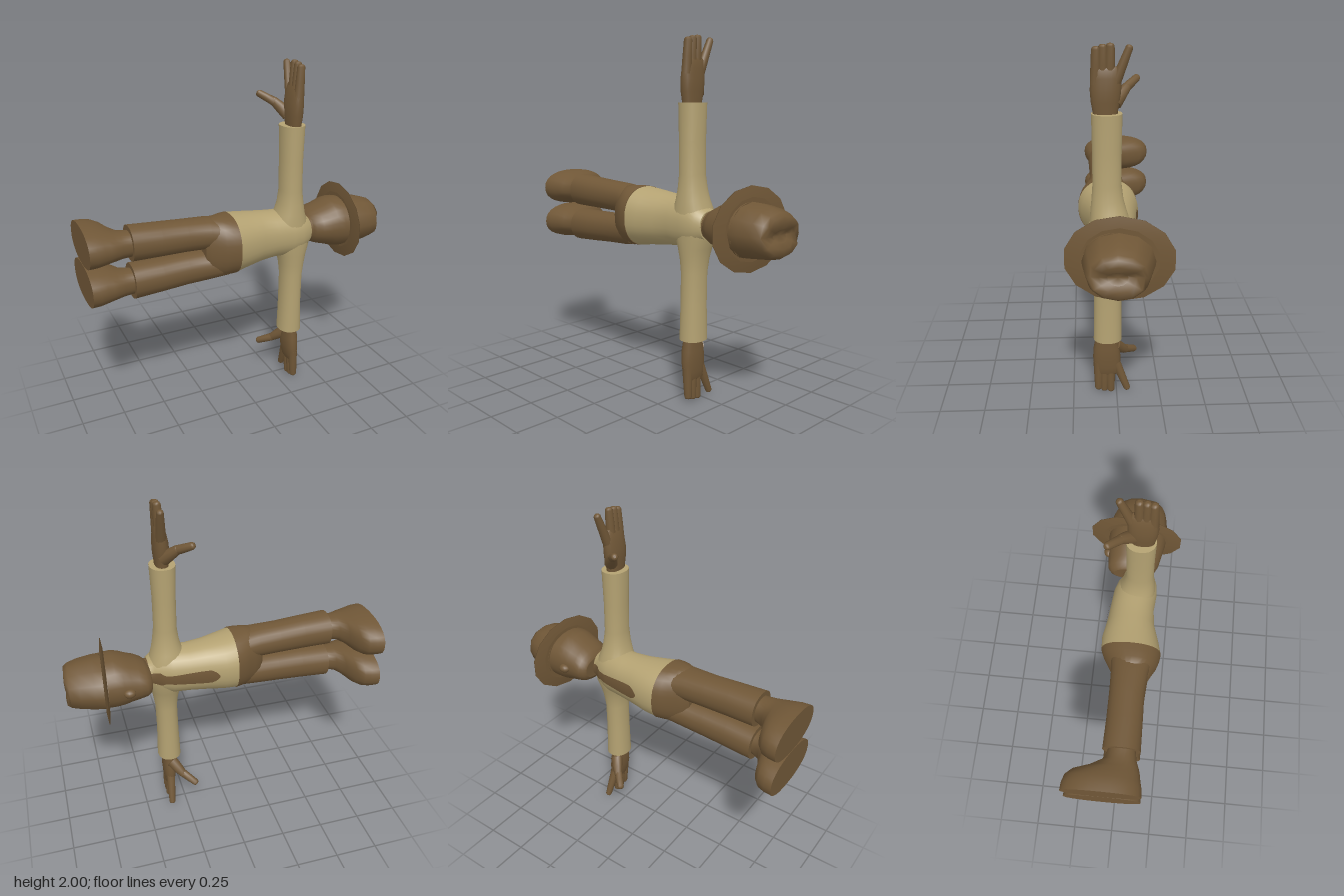
import * as THREE from 'three';

const brown = new THREE.MeshStandardMaterial({ color: 0x705737 });
brown.name = 'brown';
const cream = new THREE.MeshStandardMaterial({ color: 0xb4a272 });
cream.name = 'cream';

const superPow = (c, p) => Math.sign(c) * Math.pow(Math.abs(c), 2 / p);

// Skin oval sections [t, cu, cv, ru, rv]. Axis x: u = y, v = z. Axis y: u = z, v = x.
function loft(axis, sections, segs = 28, p = 2) {
  const rows = sections[0][0] > sections[sections.length - 1][0] ? [...sections].reverse() : sections;
  const pos = [], index = [];
  const put = (t, u, v) => (axis === 'x' ? pos.push(t, u, v) : pos.push(v, t, u));
  const ring = ([t, cu, cv, ru, rv]) => {
    const start = pos.length / 3;
    for (let i = 0; i < segs; i++) {
      const a = (i / segs) * Math.PI * 2;
      put(t, cu + ru * superPow(Math.cos(a), p), cv + rv * superPow(Math.sin(a), p));
    }
    return start;
  };
  const starts = rows.map(ring);
  for (let r = 0; r < rows.length - 1; r++) {
    for (let i = 0; i < segs; i++) {
      const j = (i + 1) % segs, a = starts[r], b = starts[r + 1];
      index.push(a + i, a + j, b + j, a + i, b + j, b + i);
    }
  }
  // separate cap vertices keep the end edges crisp
  for (const [row, last] of [[rows[0], false], [rows[rows.length - 1], true]]) {
    const s = ring(row), c = pos.length / 3;
    put(row[0], row[1], row[2]);
    for (let i = 0; i < segs; i++) {
      const j = (i + 1) % segs;
      if (last) index.push(c, s + i, s + j);
      else index.push(c, s + j, s + i);
    }
  }
  const g = new THREE.BufferGeometry();
  g.setAttribute('position', new THREE.Float32BufferAttribute(pos, 3));
  g.setIndex(index);
  g.computeVertexNormals();
  return g;
}

// Move every vertex by a rule
function warp(g, rule) {
  const p = g.attributes.position, v = new THREE.Vector3();
  for (let i = 0; i < p.count; i++) {
    rule(v.fromBufferAttribute(p, i));
    p.setXYZ(i, v.x, v.y, v.z);
  }
  g.computeVertexNormals();
  return g;
}

// Rounded tapering finger between two points
function finger(a, b, r1, r2) {
  const A = new THREE.Vector3(...a), B = new THREE.Vector3(...b), L = A.distanceTo(B);
  const g = loft('y', [[0, r1], [L * 0.5, (r1 + r2) / 2], [L - r2 * 0.6, r2], [L - r2 * 0.15, r2 * 0.75], [L, r2 * 0.35]]
    .map(([t, r]) => [t, 0, 0, r, r]), 10);
  g.applyQuaternion(new THREE.Quaternion().setFromUnitVectors(new THREE.Vector3(0, 1, 0), B.clone().sub(A).normalize()));
  return g.translate(A.x, A.y, A.z);
}

const torso = [
  [-0.07, 1, 0.036, 0.172, 0.172], [0, 1, 0.025, 0.162, 0.165], [0.1, 1, 0.018, 0.15, 0.139],
  [0.2, 1, 0.018, 0.14, 0.128], [0.3, 1, 0.028, 0.14, 0.127], [0.36, 1, 0.035, 0.125, 0.115],
  [0.4, 1, 0.042, 0.1, 0.095], [0.43, 1, 0.035, 0.08, 0.082],
];
const TORSO_P = 2.2;

// Height of the chest surface, on the -z side
function chestZ(x, y) {
  let k = 0;
  while (k < torso.length - 2 && torso[k + 1][0] < x) k++;
  const f = (x - torso[k][0]) / (torso[k + 1][0] - torso[k][0]);
  const [cz, ry, rz] = [2, 3, 4].map((n) => THREE.MathUtils.lerp(torso[k][n], torso[k + 1][n], f));
  return cz - rz * Math.pow(1 - Math.pow(Math.min(1, Math.abs(y - 1) / ry), TORSO_P), 1 / TORSO_P);
}

export function createModel() {
  const model = new THREE.Group();
  model.name = 'lyingFigure';
  const add = (name, geometry, material, parent = model) => {
    const m = new THREE.Mesh(geometry, material);
    m.name = name;
    parent.add(m);
    return m;
  };

  // Shirt body and hips
  add('shirt', loft('x', torso, 32, TORSO_P), cream);
  add('hips', loft('x', [
    [-0.25, 0.995, 0.05, 0.1, 0.07], [-0.225, 0.996, 0.048, 0.15, 0.1], [-0.19, 0.997, 0.048, 0.175, 0.118],
    [-0.15, 0.998, 0.048, 0.177, 0.142], [-0.11, 1, 0.042, 0.175, 0.162], [-0.07, 1, 0.036, 0.173, 0.173],
  ], 32, 2.3), brown);

  // Tie lying on the chest
  const tieWidths = [[0.045, 0.006], [0.06, 0.026], [0.09, 0.042], [0.15, 0.041], [0.3, 0.03], [0.345, 0.027], [0.375, 0.042], [0.425, 0.032]];
  const tieHalf = (x) => {
    let k = 0;
    while (k < tieWidths.length - 2 && tieWidths[k + 1][0] < x) k++;
    const [a, b] = [tieWidths[k], tieWidths[k + 1]];
    return THREE.MathUtils.mapLinear(x, a[0], b[0], a[1], b[1]);
  };
  add('tie', warp(new THREE.PlaneGeometry(1, 1, 36, 6), (v) => {
    const x = 0.235 - v.x * 0.38, y = 1 + v.y * 2 * tieHalf(x);
    v.set(x, y, chestZ(x, y) - 0.006);
  }), brown);

  for (const s of [1, -1]) {
    const side = s > 0 ? 'upper' : 'lower';

    // Trouser leg and boot
    const leg = new THREE.Group();
    leg.name = side + 'Leg';
    model.add(leg);
    const legRows = (rows) => rows.map(([x, d, cz, ry, rz]) => [x, 0.993 + s * d, cz, ry, rz]);
    add('trouserLeg', loft('x', legRows([
      [-0.665, 0.112, 0.04, 0.098, 0.104], [-0.5, 0.106, 0.04, 0.094, 0.1], [-0.35, 0.1, 0.038, 0.09, 0.098],
      [-0.22, 0.095, 0.041, 0.088, 0.104], [-0.12, 0.088, 0.045, 0.082, 0.12],
    ]), 24, 2.2), brown, leg);
    add('boot', loft('x', legRows([
      [-0.905, 0.112, -0.048, 0.11, 0.218], [-0.86, 0.112, -0.048, 0.11, 0.214], [-0.82, 0.111, -0.047, 0.105, 0.203],
      [-0.785, 0.111, -0.03, 0.094, 0.18], [-0.755, 0.111, 0.01, 0.082, 0.132], [-0.72, 0.111, 0.035, 0.073, 0.093],
      [-0.67, 0.111, 0.042, 0.07, 0.076], [-0.6, 0.111, 0.042, 0.07, 0.076],
    ]), 28, 2.3), brown, leg);

    // Sleeve and hand, stretched out along y
    const arm = new THREE.Group();
    arm.name = side + 'Arm';
    model.add(arm);
    const dx = s > 0 ? 0 : 0.018;
    const at = (x, d, z) => [x + dx, 1 + s * d, z];
    const armRows = (rows) => rows.map(([d, cz, cx, rz, rx]) => [1 + s * d, cz, cx + dx, rz, rx]);
    add('sleeve', loft('y', armRows([
      [0.04, 0.035, 0.31, 0.11, 0.115], [0.08, 0.037, 0.31, 0.106, 0.107], [0.13, 0.043, 0.311, 0.096, 0.088],
      [0.19, 0.048, 0.313, 0.085, 0.074], [0.27, 0.05, 0.312, 0.077, 0.064], [0.45, 0.05, 0.31, 0.077, 0.064],
      [0.65, 0.05, 0.31, 0.08, 0.07],
    ]), 24, 2.2), cream, arm);
    add('palm', loft('y', armRows([
      [0.6, 0.056, 0.312, 0.062, 0.036], [0.66, 0.058, 0.312, 0.064, 0.037], [0.71, 0.057, 0.312, 0.074, 0.042],
      [0.77, 0.056, 0.313, 0.079, 0.042], [0.83, 0.054, 0.316, 0.077, 0.034], [0.87, 0.054, 0.32, 0.07, 0.026],
      [0.885, 0.054, 0.32, 0.055, 0.016],
    ]), 20, 2.3), brown, arm);
    [[0.105, 0.104, 0.985], [0.07, 0.07, 0.995], [0.036, 0.032, 1]].forEach(([z1, z2, end], i) =>
      add('finger' + (i + 1), finger(at(0.316, 0.8, z1), at(0.325, end, z2), 0.029, 0.022), brown, arm));
    add('indexFinger', finger(at(0.316, 0.8, 0.008), at(0.328, 0.99, -0.066), 0.028, 0.019), brown, arm);
    add('thumb', finger(at(0.305, 0.7, 0.01), at(0.235, 0.78, -0.062), 0.038, 0.024), brown, arm);
    add('thumbTip', finger(at(0.25, 0.763, -0.045), at(0.172, 0.812, -0.117), 0.025, 0.02), brown, arm);
  }

  // Neck, head and nose
  add('neck', loft('x', [[0.38, 1, 0.035, 0.078, 0.077], [0.43, 1, 0.032, 0.077, 0.077], [0.5, 1, 0.03, 0.085, 0.08]]), brown);
  add('head', loft('x', [
    [0.428, 1, -0.03, 0.06, 0.085], [0.438, 1, -0.02, 0.08, 0.115], [0.46, 1.002, -0.01, 0.097, 0.142],
    [0.5, 1.004, -0.002, 0.114, 0.153], [0.55, 1.006, 0.002, 0.13, 0.16], [0.59, 1.008, 0.004, 0.146, 0.166],
    [0.63, 1.008, 0.008, 0.152, 0.172], [0.69, 1.006, 0.008, 0.147, 0.174],
  ], 24, 2.1), brown);
  const nose = add('nose', new THREE.SphereGeometry(1, 14, 10), brown);
  nose.scale.set(0.035, 0.026, 0.03);
  nose.position.set(0.565, 1.004, -0.157);

  // Hat, tipped by a slight shear, with a crease in the top
  const hat = new THREE.Group();
  hat.name = 'hat';
  model.add(hat);
  add('brim', warp(loft('x', [
    [0.67, 1.007, 0, 0.17, 0.2], [0.678, 1.007, 0, 0.228, 0.28], [0.682, 1.007, 0, 0.228, 0.28], [0.69, 1.007, 0, 0.17, 0.2],
  ], 14), (v) => { v.x -= 0.073 * v.z; }), brown, hat);
  add('crown', warp(loft('x', [
    [0.67, 1.005, 0.003, 0.148, 0.184], [0.74, 1.005, 0.008, 0.144, 0.178], [0.82, 1.004, 0.014, 0.133, 0.162],
    [0.875, 1.002, 0.018, 0.118, 0.145], [0.898, 1.002, 0.018, 0.1, 0.128], [0.901, 1.002, 0.018, 0.065, 0.09],
    [0.902, 1.002, 0.018, 0.035, 0.05],
  ], 12, 2.1), (v) => {
    if (v.x > 0.88) v.x -= 0.034 * Math.max(0, 1 - Math.abs(v.y - 1.002) / 0.055);
    v.x -= 0.06 * v.z;
  }), brown, hat);

  return model;
}
